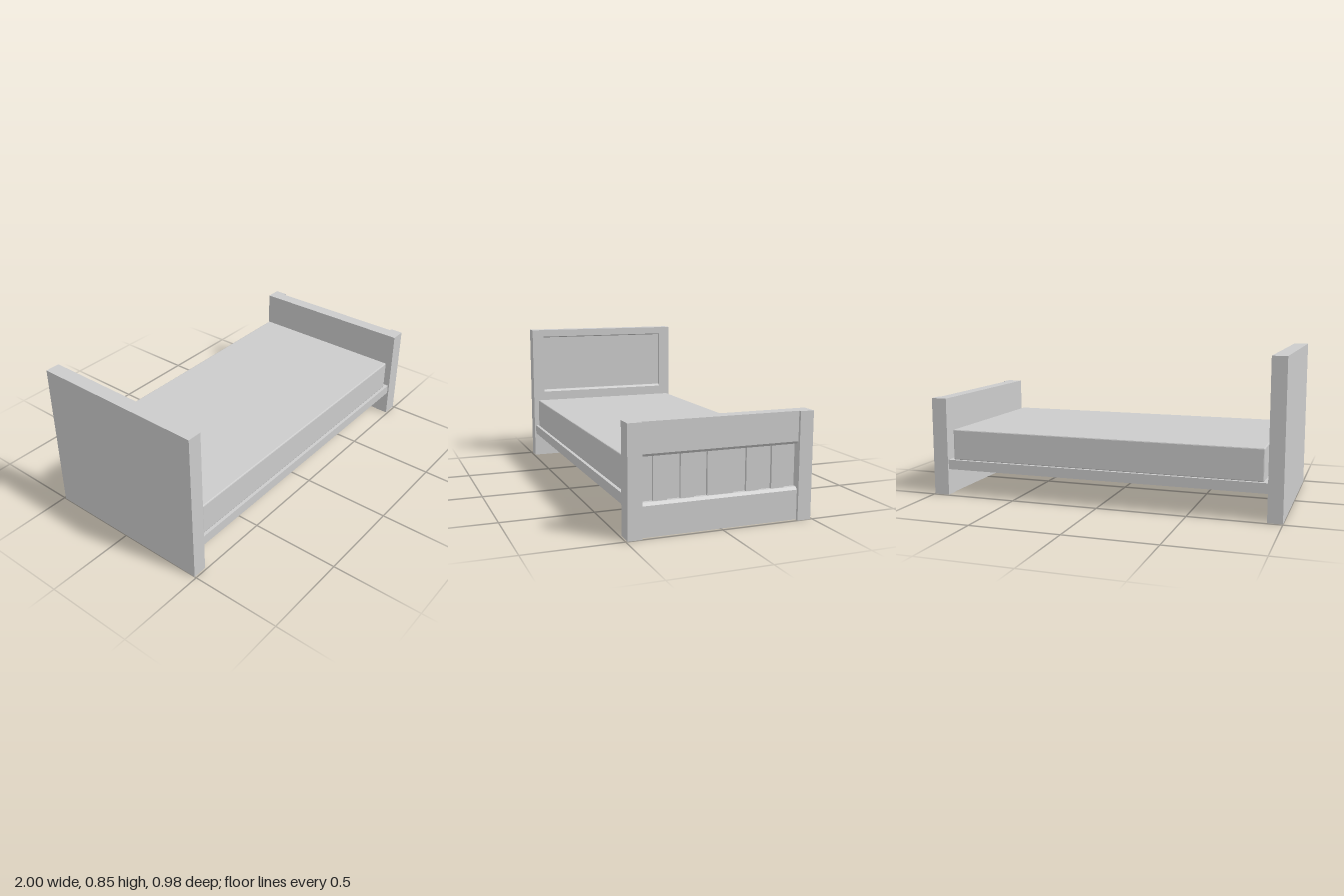
import * as THREE from 'three';
import { RoundedBoxGeometry } from 'three/addons/geometries/RoundedBoxGeometry.js';

const material = new THREE.MeshStandardMaterial({ color: 0xcccccc, flatShading: true });

function add(group, name, geometry) {
  const mesh = new THREE.Mesh(geometry, material);
  mesh.name = name;
  group.add(mesh);
  return mesh;
}

// Box given by its minimum and maximum on each axis
function block(group, name, [x0, x1], [y0, y1], [z0, z1]) {
  const mesh = add(group, name, new THREE.BoxGeometry(x1 - x0, y1 - y0, z1 - z0));
  mesh.position.set((x0 + x1) / 2, (y0 + y1) / 2, (z0 + z1) / 2);
}

// Rail running along z, from a cross-section of [x, y] points
function rail(group, name, points, halfLength) {
  const shape = new THREE.Shape(points.map(([x, y]) => new THREE.Vector2(x, y)));
  const geometry = new THREE.ExtrudeGeometry(shape, { depth: 2 * halfLength, bevelEnabled: false });
  geometry.translate(0, 0, -halfLength);
  add(group, name, geometry);
}

function createHeadboard() {
  const g = new THREE.Group();
  g.name = 'headboard';
  const back = -1, face = -0.92, c = 0.012;
  for (const s of [-1, 1]) {
    block(g, 'headboardPost', [back, face], [0, 0.85], s > 0 ? [0.418, 0.49] : [-0.49, -0.418]);
  }
  rail(g, 'headboardTopRail',
    [[back, 0.8], [face - c, 0.8], [face, 0.8 + c / 2], [face, 0.85], [back, 0.85]], 0.418);
  rail(g, 'headboardLowerBoard',
    [[back, 0], [face, 0], [face, 0.445 - c], [face - c, 0.445], [back, 0.445]], 0.418);
  block(g, 'headboardPanel', [back, -0.943], [0.445, 0.8], [-0.418, 0.418]);
  return g;
}

function createFootboard() {
  const g = new THREE.Group();
  g.name = 'footboard';
  const inner = 0.91, face = 0.985, c = 0.014;
  for (const s of [-1, 1]) {
    block(g, 'footboardPost', [inner, 1], [0, 0.56], s > 0 ? [0.416, 0.49] : [-0.49, -0.416]);
  }
  rail(g, 'footboardTopRail',
    [[inner, 0.392], [face - c, 0.392], [face, 0.392 + c], [face, 0.56], [inner, 0.56]], 0.416);
  rail(g, 'footboardBottomRail',
    [[inner, 0.003], [face, 0.003], [face, 0.157], [face - c, 0.171], [inner, 0.171]], 0.416);
  // Recessed backing with raised slats, the middle one double width
  block(g, 'footboardPanel', [inner, 0.95], [0.171, 0.392], [-0.416, 0.416]);
  for (const [z, width] of [[-0.315, 0.07], [-0.175, 0.07], [0, 0.14], [0.175, 0.07], [0.315, 0.07]]) {
    block(g, 'footboardSlat', [0.945, 0.965], [0.171, 0.392], [z - width / 2, z + width / 2]);
  }
  return g;
}

export function createModel() {
  const bed = new THREE.Group();
  bed.name = 'bed';
  bed.add(createHeadboard(), createFootboard());

  // Solid base between the two end boards
  block(bed, 'bedBase', [-0.925, 0.915], [0.15, 0.205], [-0.482, 0.482]);

  // Mattress with slightly softened edges
  const mattress = add(bed, 'mattress', new RoundedBoxGeometry(1.78, 0.176, 0.932, 1, 0.006));
  mattress.position.set(-0.007, 0.292, 0);
  return bed;
}
